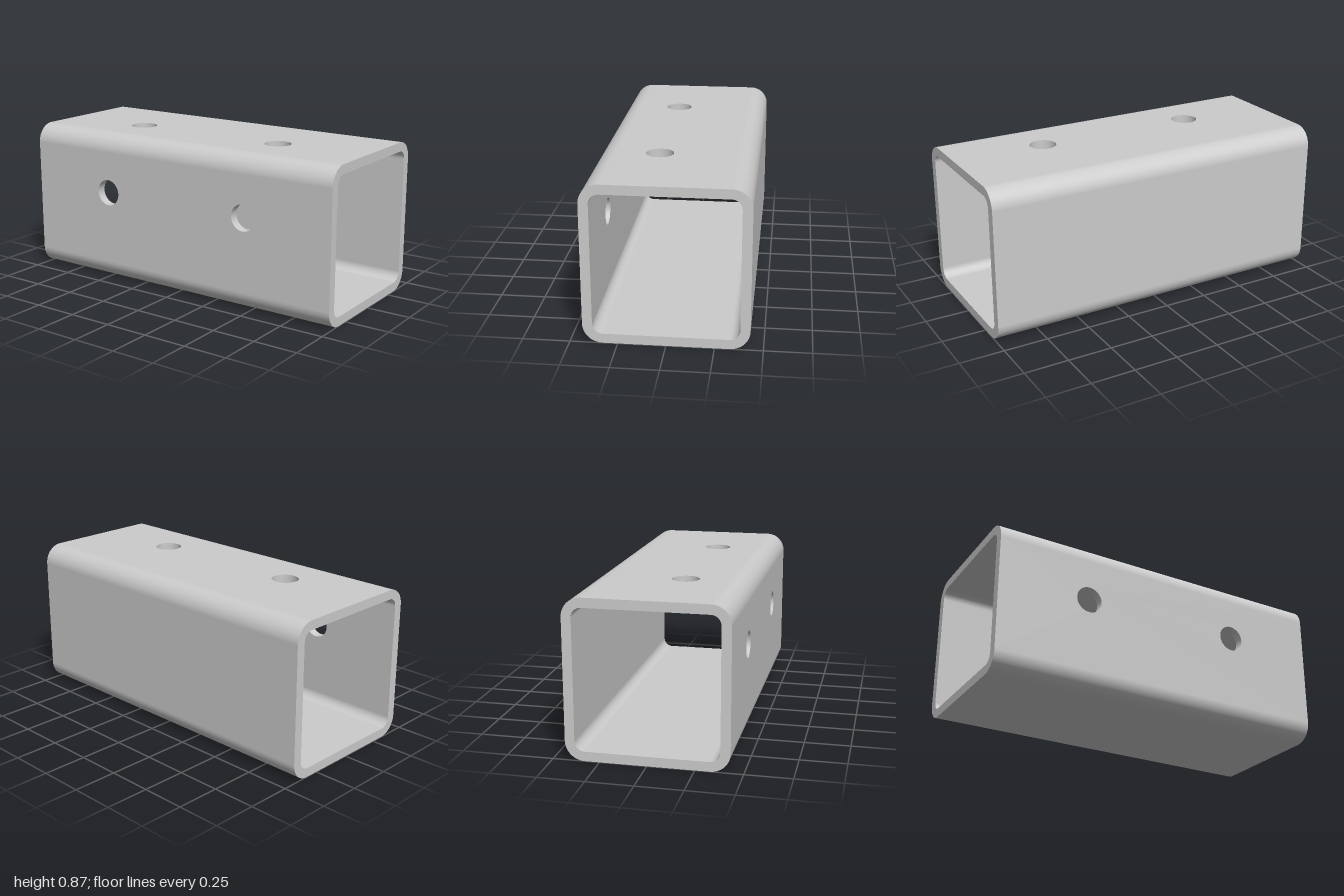
import * as THREE from 'three';

const HALF = 0.433, WALL = 0.052, R_OUT = 0.105, R_IN = R_OUT - WALL;
const INNER = HALF - WALL, FLAT = HALF - R_OUT;
const LENGTH = 2, HOLE_R = 0.075, HOLE_Z = 0.467, SEG = 16;

const grey = new THREE.MeshStandardMaterial({ color: 0xcccccc });
const greyInside = new THREE.MeshStandardMaterial({ color: 0xcccccc, side: THREE.BackSide });

function add(parent, name, geometry, material = grey) {
  const mesh = new THREE.Mesh(geometry, material);
  mesh.name = name;
  parent.add(mesh);
  return mesh;
}

// Traces a rounded square: arcs about the four shared corner centres
function roundedSquare(path, radius) {
  [[1, 1], [-1, 1], [-1, -1], [1, -1]].forEach(([x, y], i) =>
    path.absarc(x * FLAT, y * FLAT, radius, i * Math.PI / 2, (i + 1) * Math.PI / 2, false));
  path.closePath();
  return path;
}

// Flat strip of one wall, with two bolt holes when holeU is given
function wallGeometry(holeU) {
  const h = LENGTH / 2;
  const shape = new THREE.Shape([[-FLAT, -h], [FLAT, -h], [FLAT, h], [-FLAT, h]]
    .map(([x, y]) => new THREE.Vector2(x, y)));
  if (holeU !== null) {
    for (const z of [-HOLE_Z, HOLE_Z]) {
      shape.holes.push(new THREE.Path().absarc(holeU, z, HOLE_R, 0, Math.PI * 2, true));
    }
  }
  return new THREE.ShapeGeometry(shape, 24);
}

// Quarter-round corner running the length of the tube
function cornerGeometry(radius) {
  return new THREE.CylinderGeometry(radius, radius, LENGTH, SEG, 1, true, 0, Math.PI / 2)
    .rotateX(-Math.PI / 2).translate(FLAT, FLAT, 0);
}

// One wall, its bolt holes and the corner beside it, built as the top wall
function createSide(name, holeU) {
  const side = new THREE.Group();
  side.name = name;
  add(side, 'outerFace', wallGeometry(holeU).rotateX(-Math.PI / 2).translate(0, HALF, 0));
  add(side, 'innerFace', wallGeometry(holeU).rotateX(Math.PI / 2).translate(0, INNER, 0));
  add(side, 'outerCorner', cornerGeometry(R_OUT));
  add(side, 'innerCorner', cornerGeometry(R_IN), greyInside);
  if (holeU !== null) {
    for (const z of [-HOLE_Z, HOLE_Z]) {
      add(side, 'boltHole', new THREE.CylinderGeometry(HOLE_R, HOLE_R, WALL, 48, 1, true)
        .translate(holeU, HALF - WALL / 2, z), greyInside);
    }
  }
  return side;
}

export function createModel() {
  const model = new THREE.Group();
  model.name = 'squareTube';

  // Four walls, turned about the tube axis; two adjacent ones are drilled
  const sides = [['topWall', -0.09], ['rightWall', 0.09], ['bottomWall', null], ['leftWall', null]];
  sides.forEach(([name, holeU], i) => {
    const side = createSide(name, holeU);
    side.rotation.z = i * Math.PI / 2;
    side.position.y = HALF;
    model.add(side);
  });

  // Cut ends of the tube
  const ring = roundedSquare(new THREE.Shape(), R_OUT);
  ring.holes.push(roundedSquare(new THREE.Path(), R_IN));
  const endGeometry = new THREE.ShapeGeometry(ring, SEG).translate(0, 0, LENGTH / 2);
  add(model, 'frontEnd', endGeometry).position.y = HALF;
  const back = add(model, 'backEnd', endGeometry);
  back.position.y = HALF;
  back.rotation.y = Math.PI;

  return model;
}
